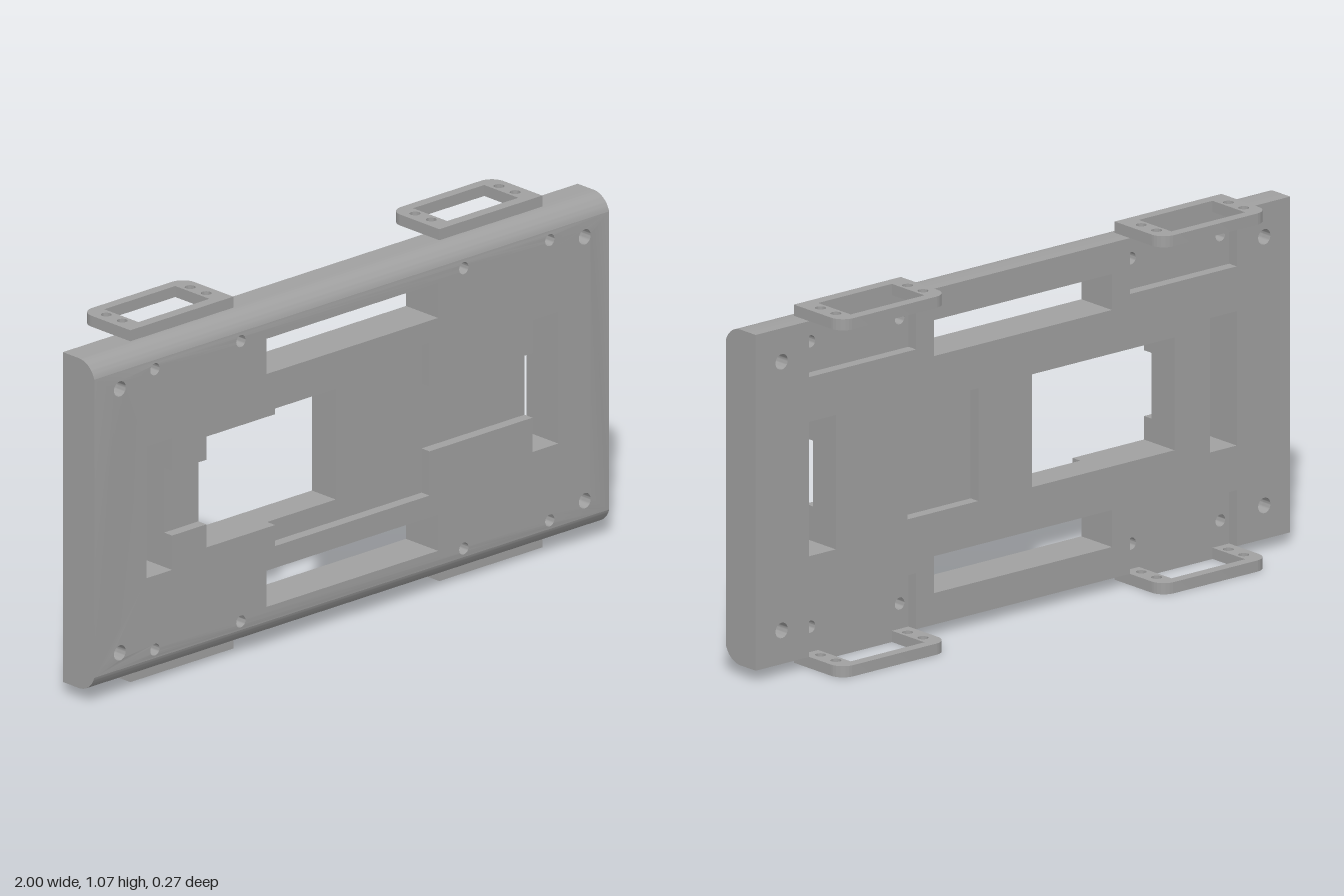
import * as THREE from 'three';
import { toCreasedNormals } from 'three/addons/utils/BufferGeometryUtils.js';

const U = 1 / 30;            // wall step: thickness of brackets, depth of recesses
const BACK = 0.0035;         // z of the plate's back face
const FRONT = BACK + 4 * U;  // z of the plate's front face
const BOT = U, TOP = 1 + U, MID = 0.5 + U;
const R = 2 * U;             // radius of the long front edges
const CUT = 0.452;           // half height where the rounded edge strips begin

const poly = (pts, Type = THREE.Shape) => new Type(pts.map(([x, y]) => new THREE.Vector2(x, y)));
const rectPts = (x0, y0, x1, y1) => [[x0, y0], [x1, y0], [x1, y1], [x0, y1]];
const rectHole = (...r) => poly(rectPts(...r), THREE.Path);
const roundHole = (x, y, r) => new THREE.Path().absarc(x, y, r, 0, Math.PI * 2, true);
const extrude = (shape, depth) =>
  new THREE.ExtrudeGeometry(shape, { depth, bevelEnabled: false, curveSegments: 20 });
// drop of the rounded front at a distance from the plate's middle height
const drop = (d) => (d <= 0.5 - R ? 0 : R - Math.sqrt(Math.max(0, R * R - (d - 0.5 + R) ** 2)));

export function createModel() {
  const group = new THREE.Group();
  const grey = new THREE.MeshStandardMaterial({ color: 0xa0a0a0 });
  grey.name = 'grey plastic';
  const add = (name, geo) => {
    const mesh = new THREE.Mesh(toCreasedNormals(geo, 0.5), grey);
    mesh.name = name;
    group.add(mesh);
    return mesh;
  };

  // openings shared by the plate layers
  const longSlots = () => [rectHole(-0.333, 0.833, 0.333, 0.94), rectHole(-0.333, 0.127, 0.333, 0.237)];
  const sideSlots = () => [-0.8, 0.7].map((x) => rectHole(x, 0.333, x + 0.1, 0.733));
  const window = () => rectHole(-0.567, 0.367, -0.033, 0.703);
  const cornerHoles = () => [-1, 1].flatMap((s) =>
    [0.4, -0.4].map((y) => roundHole(s * 0.903, MID + y, 0.023)));
  const screwHoles = () => [-0.767, -0.433, 0.433, 0.767].flatMap((x) =>
    [0.425, -0.425].map((y) => roundHole(x, MID + y, 0.018)));

  // back layer, notched behind the four brackets, with a shallow pocket
  const n = 5 * U;
  const backShape = poly([
    [-1, BOT], [-0.8, BOT], [-0.8, BOT + n], [-0.4, BOT + n], [-0.4, BOT],
    [0.4, BOT], [0.4, BOT + n], [0.8, BOT + n], [0.8, BOT], [1, BOT],
    [1, TOP], [0.8, TOP], [0.8, TOP - n], [0.4, TOP - n], [0.4, TOP],
    [-0.4, TOP], [-0.4, TOP - n], [-0.8, TOP - n], [-0.8, TOP], [-1, TOP],
  ]);
  backShape.holes.push(...longSlots(), ...sideSlots(), window(), ...cornerHoles(),
    rectHole(0.167, 0.367, 0.433, 0.703));
  add('plateBack', extrude(backShape, U).translate(0, 0, BACK));

  // middle layer
  const inner = rectPts(-1, MID - CUT, 1, MID + CUT);
  const midShape = poly(inner);
  midShape.holes.push(...longSlots(), ...sideSlots(), window(), ...cornerHoles(), ...screwHoles());
  add('plateMiddle', extrude(midShape, 2 * U).translate(0, 0, BACK + U));

  // front layer with the stepped recess, joined to the window and side slots
  const frontShape = poly(inner);
  frontShape.holes.push(...longSlots(), ...cornerHoles(), ...screwHoles(), poly([
    [0.3, 0.303], [0.3, 0.437], [0.7, 0.437], [0.7, 0.333], [0.8, 0.333], [0.8, 0.733],
    [0.7, 0.733], [0.7, 0.633], [0.3, 0.633], [0.3, 0.767], [-0.3, 0.767], [-0.3, 0.703],
    [-0.567, 0.703], [-0.567, 0.633], [-0.7, 0.633], [-0.7, 0.733], [-0.8, 0.733],
    [-0.8, 0.333], [-0.7, 0.333], [-0.7, 0.437], [-0.567, 0.437], [-0.567, 0.367],
    [-0.3, 0.367], [-0.3, 0.303],
  ], THREE.Path));
  const frontGeo = extrude(frontShape, U).translate(0, 0, FRONT - U);
  const p = frontGeo.attributes.position;
  for (let i = 0; i < p.count; i++) {
    if (p.getZ(i) > FRONT - U / 2) p.setZ(i, FRONT - drop(Math.abs(p.getY(i) - MID)));
  }
  add('plateFront', frontGeo);

  // rounded long edges: profile in (z, y), extruded along x
  for (const s of [1, -1]) {
    const pts = [[BACK + U, MID + s * CUT], [BACK + U, MID + s * 0.5]];
    for (let i = 0; i <= 14; i++) {
      const a = (i / 14) * Math.acos((CUT - 0.5 + R) / R);
      pts.push([FRONT - R + R * Math.sin(a), MID + s * (0.5 - R + R * Math.cos(a))]);
    }
    add(s > 0 ? 'topEdge' : 'bottomEdge',
      extrude(poly(pts), 2).rotateY(-Math.PI / 2).scale(1, 1, 1).translate(1, 0, 0));
  }

  // four bracket frames: outline in (x, z), extruded downwards
  const z0 = -0.1367, z1 = BACK + 2 * U, w = 0.2, r = 0.045;
  const frame = new THREE.Shape();
  frame.moveTo(w, z1);
  frame.lineTo(-w, z1);
  frame.lineTo(-w, z0 + r);
  frame.absarc(-w + r, z0 + r, r, Math.PI, Math.PI * 1.5, false);
  frame.absarc(w - r, z0 + r, r, Math.PI * 1.5, Math.PI * 2, false);
  frame.holes.push(rectHole(-0.138, -0.105, 0.138, BACK + U));
  for (const x of [-0.163, 0.163]) {
    for (const z of [-0.07, -0.003]) frame.holes.push(roundHole(x, z, 0.0155));
  }
  const frameGeo = extrude(frame, U).rotateX(Math.PI / 2);
  for (const x of [-0.6, 0.6]) {
    for (const y of [U, TOP + U]) {
      add((y > U ? 'top' : 'bottom') + (x > 0 ? 'Left' : 'Right') + 'Bracket', frameGeo)
        .position.set(x, y, 0);
    }
  }
  return group;
}
